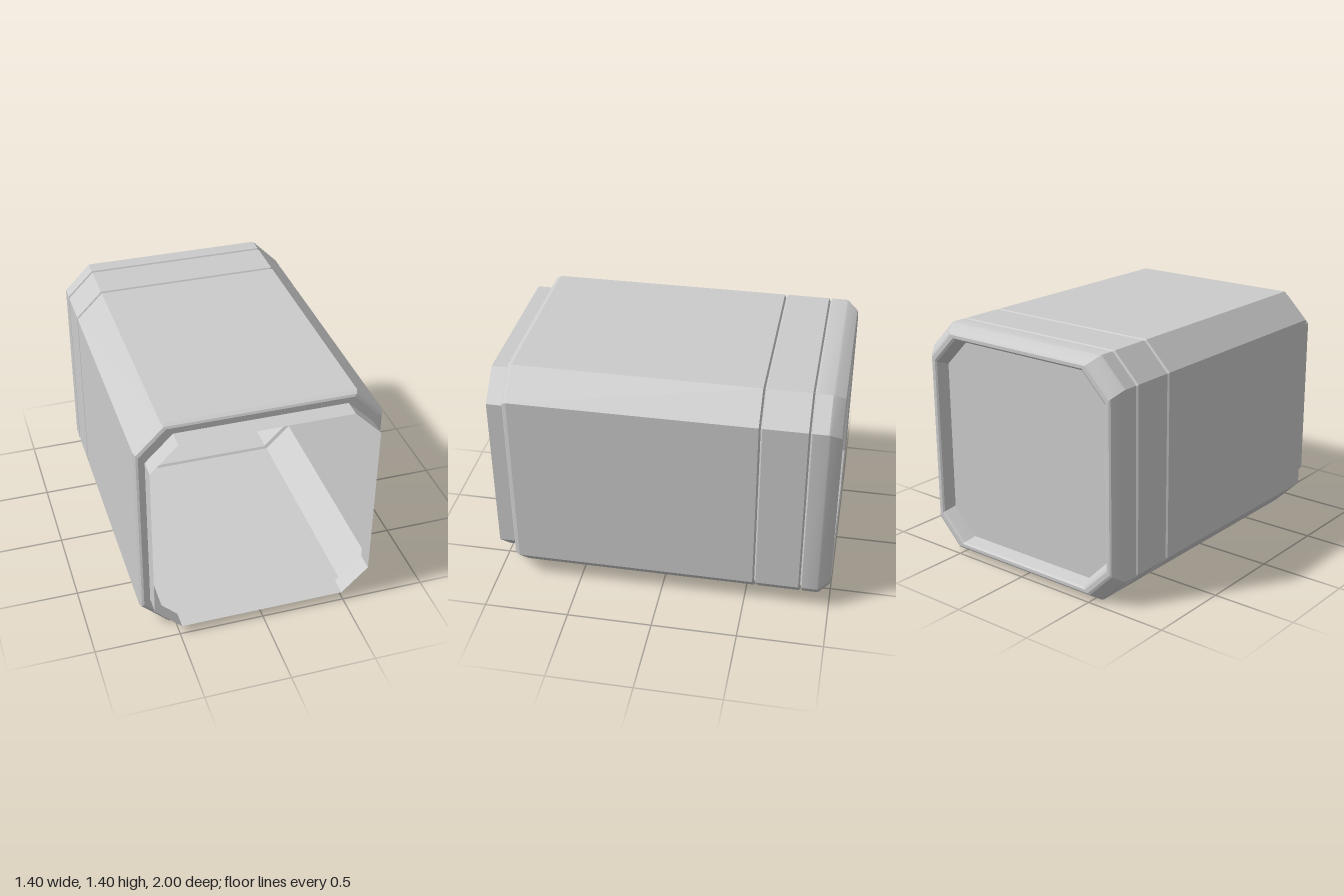
import * as THREE from 'three';
import { toCreasedNormals } from 'three/addons/utils/BufferGeometryUtils.js';

const CENTER_Y = 0.702;
const CHAMFER = 0.157;
const material = new THREE.MeshStandardMaterial({ color: 0xcccccc, side: THREE.DoubleSide });

// Corners of a square with cut corners, counter-clockwise from the front
function octagon(r) {
  const k = r - CHAMFER;
  return [[r, -k], [r, k], [k, r], [-k, r], [-r, k], [-r, -k], [-k, -r], [k, -r]];
}

// Shell through octagonal sections; profile lists [half width, z] from front to back
function shell(name, profile) {
  const positions = [];
  const index = [];
  profile.forEach(([r, z], i) => {
    octagon(r).forEach(([x, y], j) => {
      positions.push(x, y, z);
      if (i === profile.length - 1) return;
      const a = i * 8 + j, b = i * 8 + (j + 1) % 8;
      index.push(a, a + 8, b + 8, a, b + 8, b);
    });
  });
  const geometry = new THREE.BufferGeometry();
  geometry.setAttribute('position', new THREE.Float32BufferAttribute(positions, 3));
  geometry.setIndex(index);
  const mesh = new THREE.Mesh(toCreasedNormals(geometry, 0.35), material);
  mesh.name = name;
  mesh.position.y = CENTER_Y;
  return mesh;
}

export function createModel() {
  const group = new THREE.Group();
  group.name = 'housing';

  // Open front lip, narrower than the body
  group.add(shell('frontCollar', [[0.645, 1], [0.645, 0.895]]));

  // Long body with an eased front edge, ending in the first groove
  group.add(shell('body', [
    [0.645, 0.895], [0.68, 0.895], [0.692, 0.888], [0.702, 0.865],
    [0.702, -0.547], [0.688, -0.557],
  ]));

  // Band between the two grooves
  group.add(shell('band', [
    [0.688, -0.557], [0.702, -0.567], [0.702, -0.817], [0.688, -0.827],
  ]));

  // Tapered rear rim turning into the recess
  group.add(shell('rearRim', [
    [0.688, -0.827], [0.702, -0.837], [0.702, -0.925], [0.698, -0.937],
    [0.66, -0.994], [0.65, -1], [0.632, -1], [0.622, -0.992], [0.6, -0.925],
  ]));

  // Flat panel closing the rear
  const outline = new THREE.Shape(octagon(0.6).map(([x, y]) => new THREE.Vector2(x, y)));
  const panel = new THREE.Mesh(new THREE.ShapeGeometry(outline), material);
  panel.name = 'rearPanel';
  panel.rotation.y = Math.PI;
  panel.position.set(0, CENTER_Y, -0.925);
  group.add(panel);

  return group;
}
